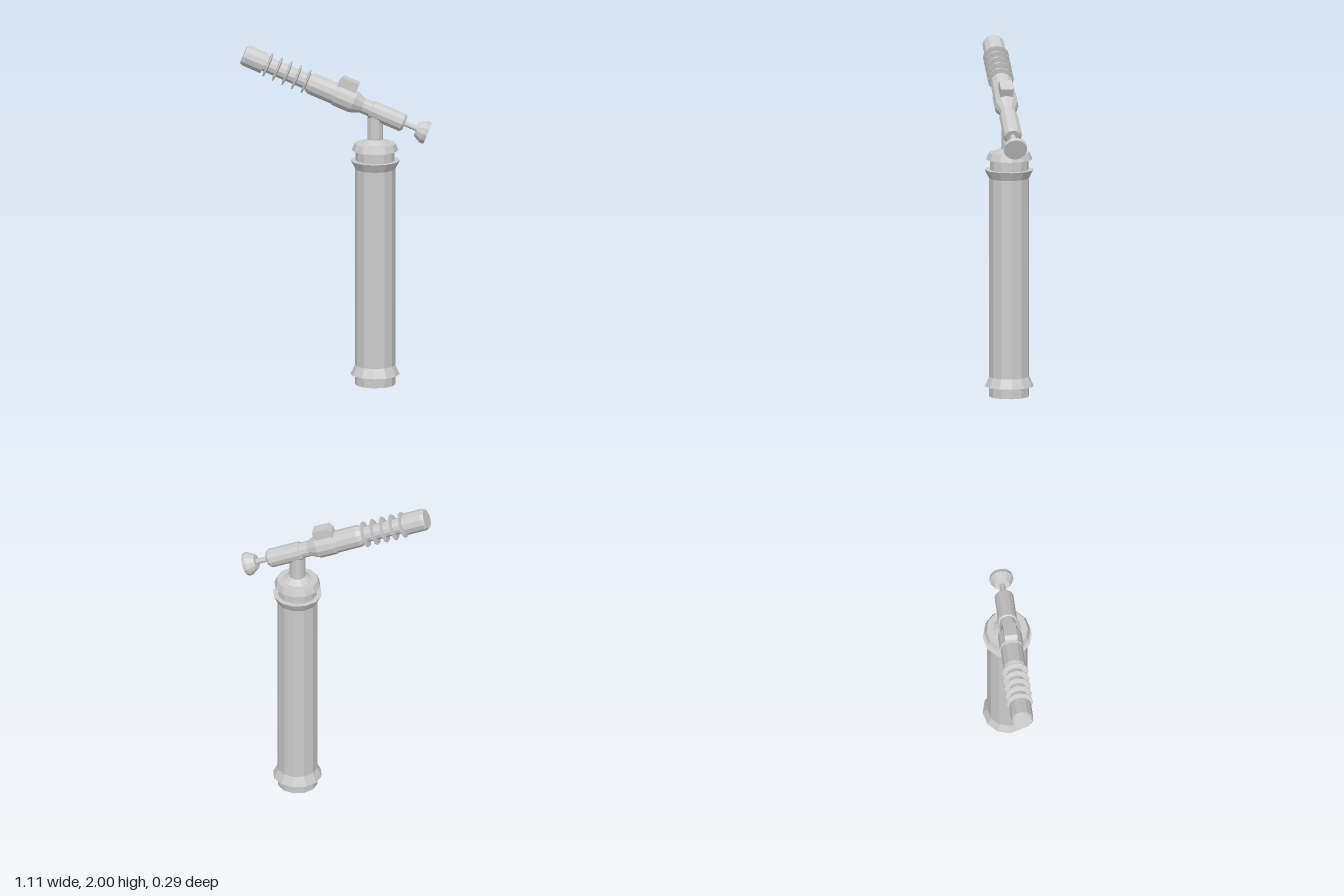
import * as THREE from 'three';

const SIDES = 12;
const material = new THREE.MeshStandardMaterial({ color: 0xcccccc, flatShading: true });

// Turned part from [radius, height] pairs, listed bottom to top
function turned(name, profile, sides = SIDES) {
  const points = profile.map(([r, h]) => new THREE.Vector2(r, h));
  const mesh = new THREE.Mesh(new THREE.LatheGeometry(points, sides), material);
  mesh.name = name;
  return mesh;
}

export function createModel() {
  const model = new THREE.Group();
  model.name = 'torch';

  // Upright gas cylinder with flared collars and a neck
  const tank = new THREE.Group();
  tank.name = 'tank';
  tank.position.x = 0.225;
  tank.add(
    turned('tankBody', [
      [0, 0], [0.117, 0], [0.117, 0.06], [0.143, 0.06], [0.117, 0.115],
      [0.117, 1.28], [0.143, 1.33], [0.113, 1.33], [0.113, 1.39],
      [0.135, 1.39], [0.12, 1.43], [0.085, 1.43], [0.05, 1.455], [0, 1.455],
    ]),
    turned('tankNeck', [[0, 1.44], [0.046, 1.44], [0.046, 1.61], [0, 1.61]]),
  );
  model.add(tank);

  // Tilted burner: local y runs from the nozzle tip to the knob
  const burner = new THREE.Group();
  burner.name = 'burner';
  burner.position.set(-0.537, 1.947, 0);
  burner.rotation.z = -THREE.MathUtils.degToRad(113.1);
  burner.add(
    turned('nozzleCap', [[0, 0], [0.056, 0], [0.064, 0.015], [0.064, 0.13], [0, 0.13]]),
    turned('nozzleTube', [[0, 0.12], [0.047, 0.12], [0.047, 0.42], [0, 0.42]]),
    turned('burnerBody', [
      [0, 0.405], [0.053, 0.405], [0.065, 0.43], [0.065, 0.58], [0.07, 0.585],
      [0.07, 0.69], [0.046, 0.75], [0.046, 0.8], [0.055, 0.805],
      [0.055, 1.0], [0.042, 1.015], [0, 1.015],
    ]),
    turned('valveStem', [[0, 1.0], [0.016, 1.0], [0.016, 1.1], [0, 1.1]]),
    turned('valveKnob', [[0, 1.09], [0.044, 1.09], [0.07, 1.135], [0.067, 1.158], [0, 1.158]]),
  );

  // Thin cooling fins
  for (let i = 0; i < 5; i++) {
    const fin = turned('coolingFin', [[0.045, -0.009], [0.077, -0.002], [0.077, 0.002], [0.045, 0.009]]);
    fin.position.y = 0.152 + i * 0.0603;
    burner.add(fin);
  }

  // Trigger block on top, with a chamfered front corner (local -x is up)
  const outline = new THREE.Shape(
    [[0.05, 0.57], [0.088, 0.57], [0.114, 0.584], [0.114, 0.682], [0.05, 0.682]]
      .map(([height, along]) => new THREE.Vector2(-height, along)),
  );
  const width = 0.074;
  const block = new THREE.Mesh(
    new THREE.ExtrudeGeometry(outline, { depth: width, bevelEnabled: false }),
    material,
  );
  block.position.z = -width / 2;
  block.name = 'igniterBlock';
  burner.add(block);

  model.add(burner);
  return model;
}
